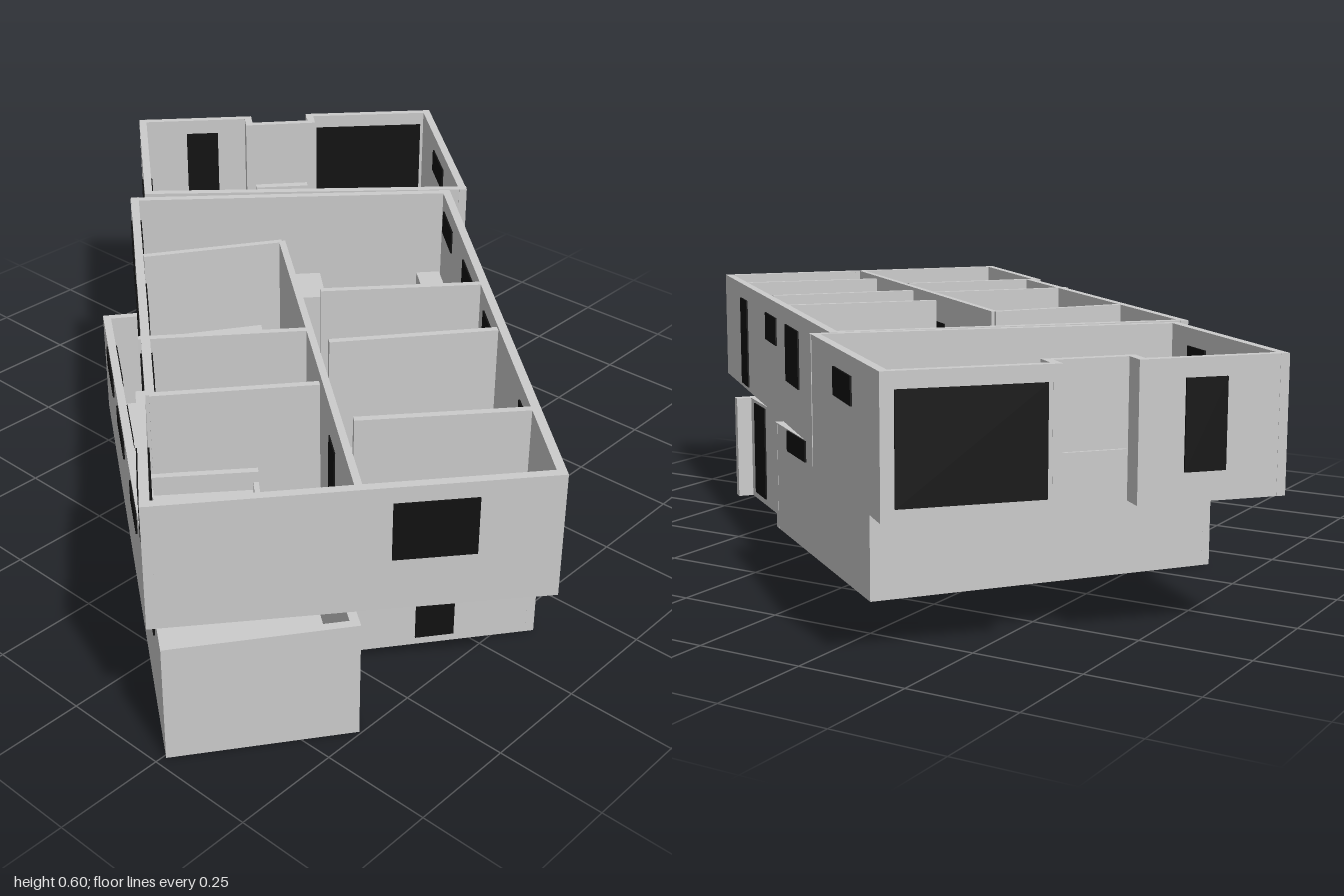
import * as THREE from 'three';

const grey = new THREE.MeshStandardMaterial({ color: 0xcccccc, flatShading: true });
const dark = new THREE.MeshStandardMaterial({ color: 0x111111 });
const T = 0.02; // wall thickness

// Box between two plan points (x, z), shifted sideways by off
function wallBox(p, q, y0, y1, thick, off, mat, name) {
  const dx = q[0] - p[0], dz = q[1] - p[1], len = Math.hypot(dx, dz);
  const m = new THREE.Mesh(new THREE.BoxGeometry(len, y1 - y0, thick), mat);
  m.position.set((p[0] + q[0]) / 2 - dz / len * off, (y0 + y1) / 2, (p[1] + q[1]) / 2 + dx / len * off);
  m.rotation.y = -Math.atan2(dz, dx);
  m.name = name;
  return m;
}

// Floor slab with walls standing inside a plan outline
function storey(name, pts, y0, y1, slab) {
  const g = new THREE.Group();
  g.name = name;
  const shape = new THREE.Shape(pts.map(([x, z]) => new THREE.Vector2(x, -z)));
  const floor = new THREE.Mesh(new THREE.ExtrudeGeometry(shape, { depth: slab, bevelEnabled: false }).rotateX(-Math.PI / 2), grey);
  floor.position.y = y0;
  floor.name = 'floorSlab';
  g.add(floor);
  const n = pts.length;
  const area = pts.reduce((s, p, i) => s + p[0] * pts[(i + 1) % n][1] - pts[(i + 1) % n][0] * p[1], 0);
  const side = Math.sign(area);
  // inner corners need the wall lengthened to meet its neighbour
  const inner = i => {
    const a = pts[(i + n - 1) % n], b = pts[i % n], c = pts[(i + 1) % n];
    return side * ((b[0] - a[0]) * (c[1] - b[1]) - (b[1] - a[1]) * (c[0] - b[0])) < 0 ? T : 0;
  };
  pts.forEach((p, i) => {
    const q = pts[(i + 1) % n], len = Math.hypot(q[0] - p[0], q[1] - p[1]);
    const ex = (q[0] - p[0]) / len, ez = (q[1] - p[1]) / len, a = inner(i), b = inner((i + 1) % n);
    g.add(wallBox([p[0] - ex * a, p[1] - ez * a], [q[0] + ex * b, q[1] + ez * b], y0, y1, T, side * T / 2, grey, 'outerWall'));
  });
  // dark panes, placed by a range of x (axis 0) or z (axis 1) along a wall
  g.userData.pane = (i, axis, from, to, b, t) => {
    const p = pts[i], q = pts[(i + 1) % n];
    const at = v => {
      const k = (v - p[axis]) / (q[axis] - p[axis]);
      return [p[0] + k * (q[0] - p[0]), p[1] + k * (q[1] - p[1])];
    };
    let [A, B] = [at(from), at(to)];
    if ((q[axis] - p[axis]) * (to - from) < 0) [A, B] = [B, A];
    g.add(wallBox(A, B, b, t, T + 0.008, side * T / 2, dark, 'windowPane'));
  };
  return g;
}

const YAW = -0.716; // plan direction of the upper rooms

// Furniture block: centre, length, width, base and height
function block(g, name, x, z, l, w, h, y = 0.315, turn = 0) {
  const m = new THREE.Mesh(new THREE.BoxGeometry(l, h, w), grey);
  m.position.set(x, y + h / 2, z);
  m.rotation.y = YAW + turn;
  m.name = name;
  g.add(m);
}

function sofa(g, name, x, z, l, w, turn) {
  const s = new THREE.Group();
  s.name = name;
  const part = (px, py, pz, a, b, c) => {
    const m = new THREE.Mesh(new THREE.BoxGeometry(a, b, c), grey);
    m.position.set(px, py, pz);
    s.add(m);
  };
  part(0, 0.022, 0, l, 0.044, w);
  part(0, 0.045, -w / 2 + 0.008, l, 0.09, 0.016);
  for (const e of [-1, 1]) part(e * (l / 2 - 0.006), 0.032, 0, 0.012, 0.064, w);
  s.position.set(x, 0.315, z);
  s.rotation.y = YAW + turn;
  g.add(s);
}

export function createModel() {
  const model = new THREE.Group();
  model.name = 'house';

  // Lower storey
  const lower = storey('lowerStorey', [
    [-0.635, 0.13], [0.507, 0.978], [0.745, 0.65], [0.535, 0.496], [0.81, 0.13], [0.79, 0.115],
    [0.765, 0.147], [0.455, -0.083], [0.48, -0.115], [-0.12, -0.56]], 0, 0.28, 0.012);
  const lp = lower.userData.pane;
  for (const [a, b, y0, y1] of [[-0.515, -0.375, 0.215, 0.268], [-0.275, -0.14, 0.215, 0.265],
    [0, 0.11, 0.215, 0.27], [0.285, 0.415, 0.228, 0.275]]) lp(0, 0, a, b, y0, y1);
  lp(3, 1, 0.28, 0.35, 0.02, 0.255);
  lp(6, 1, 0.06, 0.122, 0.018, 0.272);
  lp(8, 1, -0.185, -0.278, 0.225, 0.278);
  lower.add(wallBox([-0.31, -0.14], [0.53, 0.49], 0.01, 0.28, T, 0, grey, 'lowerPartition'));
  lower.add(wallBox([-0.05, 0.55], [0.18, 0.24], 0.01, 0.28, T, 0, grey, 'lowerPartition'));

  // Upper wing
  const wing = storey('upperWing', [
    [-1, -0.353], [-0.784, -0.594], [-0.746, -0.561], [-0.642, -0.682], [-0.68, -0.715],
    [-0.436, -0.984], [0, -0.61], [-0.6, -0.01]], 0.308, 0.6, 0.012);
  const wp = wing.userData.pane;
  wp(0, 0, -0.91, -0.85, 0.37, 0.56);
  wp(4, 0, -0.66, -0.455, 0.335, 0.565);
  wp(5, 1, -0.85, -0.755, 0.5, 0.56);
  wp(7, 0, -0.745, -0.68, 0.38, 0.56);

  // Upper main body
  const main = storey('upperMain', [
    [-0.61, 0.03], [-0.03, -0.575], [0.995, 0.33], [0.735, 0.645], [0.465, 0.975],
    [0.14, 0.69], [0.152, 0.675]], 0.308, 0.6, 0.012);
  const mp = main.userData.pane;
  for (const [a, b, y0, y1] of [[0.095, 0.16, 0.32, 0.56], [-0.175, -0.085, 0.49, 0.56],
    [-0.355, -0.255, 0.42, 0.56], [-0.545, -0.46, 0.5, 0.56]]) mp(1, 1, a, b, y0, y1);
  mp(2, 0, 0.775, 0.885, 0.43, 0.563);
  mp(4, 0, 0.26, 0.37, 0.43, 0.56);
  for (const [a, b] of [[-0.56, -0.455], [-0.28, -0.16], [-0.025, 0.075]]) mp(6, 0, a, b, 0.43, 0.565);

  // Inner walls of the upper storey
  const inner = [[[-0.14, -0.05], [0.73, 0.645]], [[-0.33, 0.24], [-0.14, -0.05]], [[-0.03, 0.53], [0.22, 0.24]],
    [[0.17, 0.68], [0.4, 0.4]], [[0.11, 0.08], [0.37, -0.21]], [[0.55, 0.46], [0.8, 0.17]], [[0.29, 0.25], [0.53, -0.05]]];
  for (const [p, q] of inner) main.add(wallBox(p, q, 0.315, 0.6, 0.016, 0, grey, 'partition'));
  // Inner doors along the corridor wall
  for (const k of [0.3, 0.52, 0.72]) {
    const at = t => [-0.14 + 0.87 * t, -0.05 + 0.695 * t];
    main.add(wallBox(at(k), at(k + 0.065), 0.315, 0.53, 0.022, 0, dark, 'innerDoor'));
  }

  // Furniture
  const f = new THREE.Group();
  f.name = 'furniture';
  const Q = Math.PI / 2;
  sofa(f, 'sofa', -0.41, -0.59, 0.245, 0.08, 0);
  sofa(f, 'longSofa', -0.43, -0.32, 0.25, 0.09, -Q);
  sofa(f, 'frontSofa', 0.275, 0.63, 0.24, 0.08, Q);
  sofa(f, 'armchair', 0.55, 0.785, 0.08, 0.08, -Q);
  const blocks = [
    ['sideboard', -0.275, -0.775, 0.2, 0.065, 0.09], ['coffeeTable', -0.485, -0.475, 0.12, 0.115, 0.04],
    ['cornerChair', -0.13, -0.615, 0.06, 0.06, 0.08], ['hearth', -0.68, -0.61, 0.05, 0.15, 0.1],
    ['diningTable', -0.345, -0.055, 0.17, 0.15, 0.085], ['rug', -0.145, -0.3, 0.15, 0.13, 0.01],
    ['bed', -0.14, 0.17, 0.27, 0.22, 0.06], ['kitchenCounter', 0.03, -0.43, 0.07, 0.06, 0.1],
    ['kitchenUnit', 0.24, -0.2, 0.28, 0.07, 0.1], ['tallCabinet', -0.04, -0.04, 0.13, 0.07, 0.2],
    ['wardrobe', 0.07, 0.365, 0.05, 0.17, 0.2], ['backBed', 0.32, -0.02, 0.17, 0.15, 0.06],
    ['bath', 0.515, 0.12, 0.05, 0.14, 0.07], ['washstand', 0.46, 0.0, 0.06, 0.06, 0.09],
    ['desk', 0.78, 0.3, 0.1, 0.12, 0.085], ['deskChair', 0.89, 0.3, 0.06, 0.05, 0.07],
    ['chest', 0.355, 0.41, 0.05, 0.08, 0.1], ['cupboard', 0.25, 0.22, 0.07, 0.07, 0.12],
    ['bench', 0.6, 0.6, 0.09, 0.04, 0.06], ['bedsideTable', -0.3, 0.22, 0.07, 0.06, 0.06]];
  for (const b of blocks) block(f, ...b);

  for (const g of [lower, wing, main]) g.userData = {};
  model.add(lower, wing, main, f);
  return model;
}
